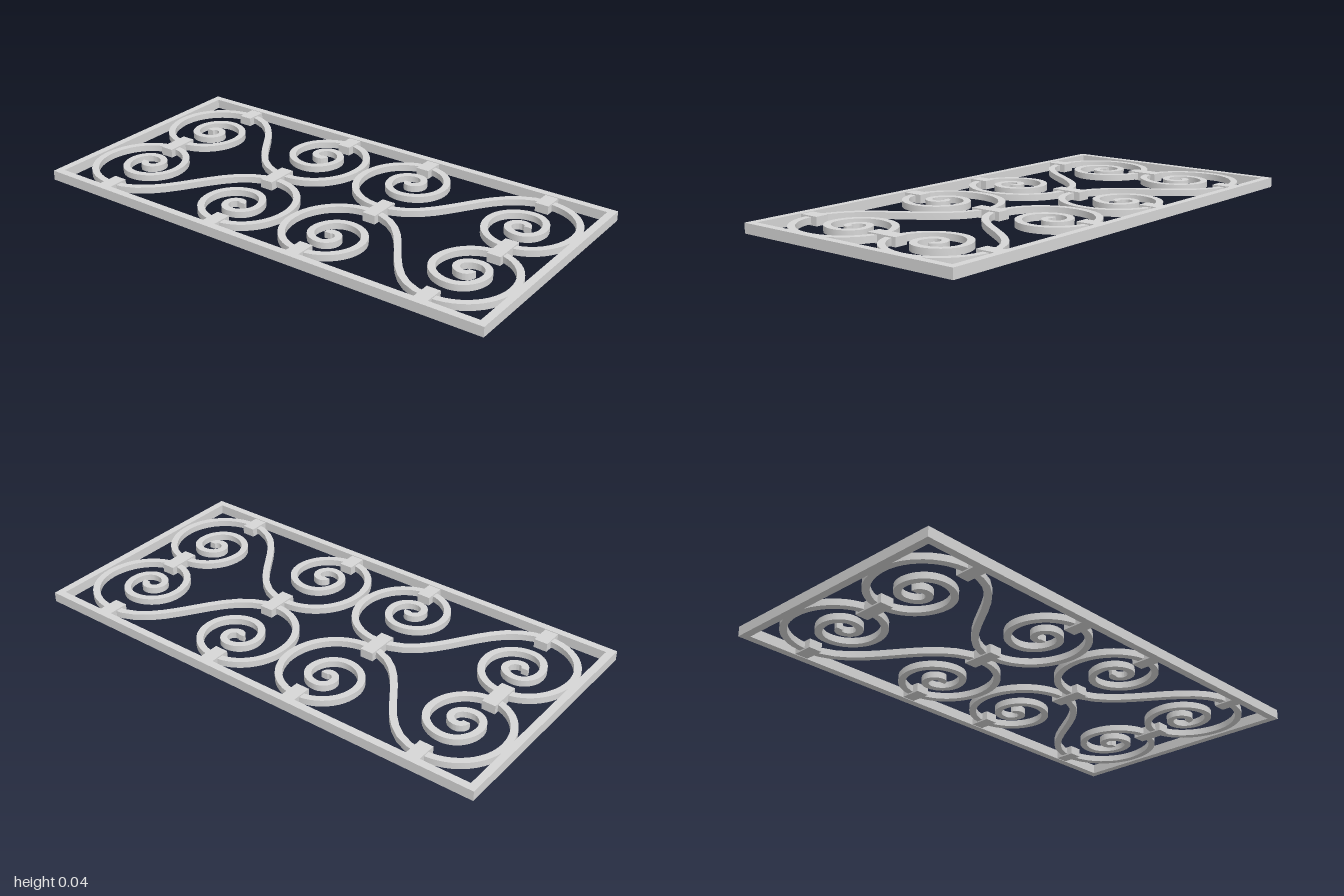
import * as THREE from 'three';
import { toCreasedNormals } from 'three/addons/utils/BufferGeometryUtils.js';

const W = 0.508, L = 1, BAR = 0.031, H = 0.04;  // frame half width, half length, bar width, height
const BAND = 0.028, BAND_H = 0.026;             // scroll bar section

// Extreme points of one S-scroll (x, z): tangents alternate horizontal / vertical
const upper = [[0.2, -0.778], [0.227, -0.751], [0.185, -0.709], [0.135, -0.773], [0.211, -0.838],
  [0.312, -0.746], [0.19, -0.624], [0.031, -0.778], [0.235, -0.955], [0.436, -0.751]];
const lower = [[0.026, -0.223], [0.24, -0.02], [0.436, -0.197], [0.285, -0.355], [0.162, -0.234],
  [0.264, -0.139], [0.338, -0.213], [0.291, -0.26], [0.254, -0.223], [0.272, -0.205]];

const vec = ([x, y]) => new THREE.Vector2(x, y);

// Quarter-ellipse arc between two neighbouring extremes
function quarter(p, q, startsHorizontal) {
  const corner = startsHorizontal ? new THREE.Vector2(q.x, p.y) : new THREE.Vector2(p.x, q.y);
  return new THREE.CubicBezierCurve(p, p.clone().lerp(corner, 0.5523), q.clone().lerp(corner, 0.5523), q);
}

// Centreline: inner curl, S-shaped link, inner curl
function scrollCurve() {
  const a = upper.map(vec), b = lower.map(vec);
  const curves = [];
  for (let i = 0; i < a.length - 1; i++) curves.push(quarter(a[i], a[i + 1], i % 2 === 0));
  const p = a[a.length - 1], q = b[0], mid = (p.y + q.y) / 2;
  curves.push(new THREE.CubicBezierCurve(p, new THREE.Vector2(p.x, mid), new THREE.Vector2(q.x, mid), q));
  for (let i = 0; i < b.length - 1; i++) curves.push(quarter(b[i], b[i + 1], i % 2 === 1));
  return curves;
}

// Extrude a flat (x, z) shape upward, centred in the frame height
function slab(shape, height) {
  const g = new THREE.ExtrudeGeometry(shape, { depth: height, bevelEnabled: false });
  g.rotateX(Math.PI / 2);
  g.translate(0, (H + height) / 2, 0);
  return toCreasedNormals(g, 0.6);
}

// Flat bar of constant width along the scroll centreline
function scrollGeometry(sx, sz) {
  const left = [], right = [];
  scrollCurve().forEach((curve, k) => {
    const n = 12;
    for (let i = k ? 1 : 0; i <= n; i++) {
      const p = curve.getPoint(i / n), t = curve.getTangent(i / n);
      const ox = -t.y * BAND / 2, oy = t.x * BAND / 2;
      left.push(new THREE.Vector2((p.x + ox) * sx, (p.y + oy) * sz));
      right.push(new THREE.Vector2((p.x - ox) * sx, (p.y - oy) * sz));
    }
  });
  return slab(new THREE.Shape([...left, ...right.reverse()]), BAND_H);
}

function rect(Type, w, l) {
  return new Type([[-w, -l], [w, -l], [w, l], [-w, l]].map(vec));
}

export function createModel() {
  const group = new THREE.Group();
  const iron = new THREE.MeshStandardMaterial({ color: 0xd6d6d6 });
  iron.name = 'light grey iron';

  const add = (name, geometry) => {
    const mesh = new THREE.Mesh(geometry, iron);
    mesh.name = name;
    group.add(mesh);
    return mesh;
  };

  // Outer frame
  const outline = rect(THREE.Shape, W, L);
  outline.holes.push(rect(THREE.Path, W - BAR, L - BAR));
  add('frame', slab(outline, H));

  // Four mirrored scrolls
  for (const sx of [1, -1]) for (const sz of [1, -1]) add('scroll', scrollGeometry(sx, sz));

  // Clamps: between scroll pairs, and between scrolls and frame
  const clamp = (name, x, z, width) =>
    add(name, new THREE.BoxGeometry(width, 0.036, 0.056)).position.set(x, H / 2, z);
  for (const sz of [1, -1]) {
    clamp('centreClamp', 0, -0.787 * sz, 0.137);
    clamp('centreClamp', 0, -0.248 * sz, 0.137);
    for (const sx of [1, -1]) {
      clamp('sideClamp', 0.434 * sx, -0.738 * sz, 0.085);
      clamp('sideClamp', 0.434 * sx, -0.197 * sz, 0.085);
    }
  }
  return group;
}
